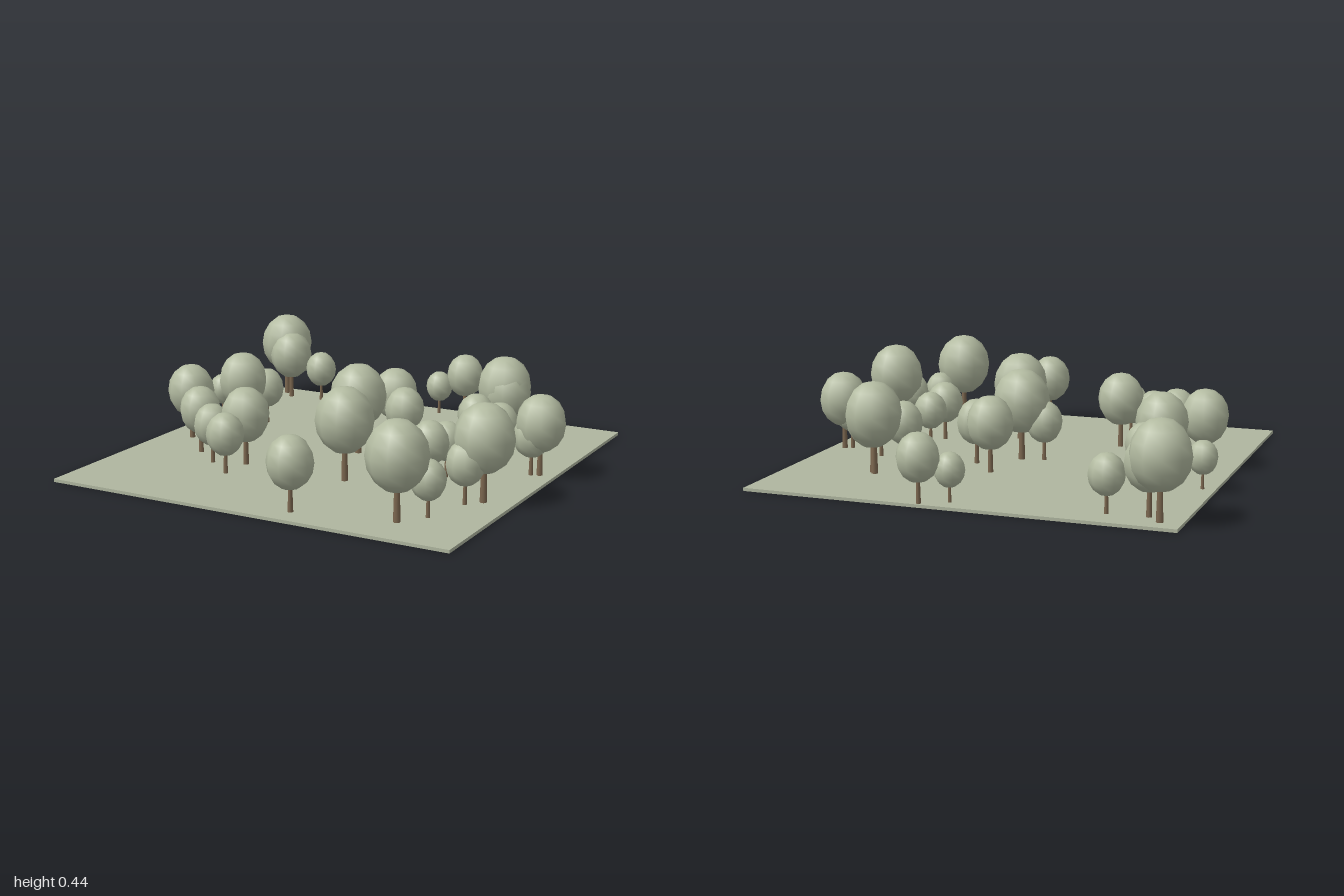
import * as THREE from 'three';

// Each tree: x, z, crown radius
const TREES = [
  [-0.87, -0.84, 0.13], [-0.81, -0.78, 0.107], [-0.635, -0.79, 0.078],
  [0.025, -0.84, 0.066], [0.14, -0.9, 0.093], [0.53, -0.49, 0.128],
  [0.545, -0.475, 0.117], [-0.905, -0.27, 0.066], [-0.645, -0.27, 0.084],
  [-0.68, -0.11, 0.117], [0.055, -0.295, 0.107], [0.175, -0.155, 0.092],
  [-0.093, 0.01, 0.085], [0.01, -0.01, 0.13], [0.495, -0.25, 0.088],
  [0.645, -0.175, 0.086], [0.88, -0.08, 0.113], [0.845, -0.065, 0.085],
  [-0.815, 0.135, 0.11], [-0.635, 0.325, 0.096], [-0.495, 0.44, 0.084],
  [-0.345, 0.395, 0.11], [-0.35, 0.555, 0.085], [0.165, 0.4, 0.13],
  [0.53, 0.14, 0.078], [0.505, 0.26, 0.087], [0.82, 0.39, 0.132],
  [0.765, 0.455, 0.085], [0.705, 0.68, 0.076], [0.62, 0.79, 0.132],
  [0.18, 0.885, 0.101],
];

export function createModel() {
  const material = (name, color) => {
    const m = new THREE.MeshStandardMaterial({ color });
    m.name = name;
    return m;
  };
  const grass = material('grass', 0xafb69f);
  const leaves = material('leaves', 0xb3bba1);
  const bark = material('bark', 0x7d6850);

  const model = new THREE.Group();
  model.name = 'grove';

  // Thin square of land
  const ground = new THREE.Mesh(new THREE.BoxGeometry(1.91, 0.014, 1.91), grass);
  ground.name = 'ground';
  ground.position.set(-0.007, 0.007, 0.035);
  model.add(ground);

  // Unit tree: crown radius 1, slightly taller than wide, on a tapered trunk
  const crownGeo = new THREE.SphereGeometry(1, 10, 8);
  crownGeo.scale(1, 1.15, 1);
  crownGeo.translate(0, 2.1, 0);
  const trunkGeo = new THREE.CylinderGeometry(0.08, 0.12, 1.4, 7);
  trunkGeo.translate(0, 0.7, 0);

  TREES.forEach(([x, z, r], i) => {
    const tree = new THREE.Group();
    tree.name = 'tree' + (i + 1);
    const trunk = new THREE.Mesh(trunkGeo, bark);
    trunk.name = 'trunk';
    const crown = new THREE.Mesh(crownGeo, leaves);
    crown.name = 'crown';
    tree.add(trunk, crown);
    tree.scale.setScalar(r);
    tree.position.set(x, 0.014, z);
    tree.rotation.y = i * 2.4;
    model.add(tree);
  });

  return model;
}
